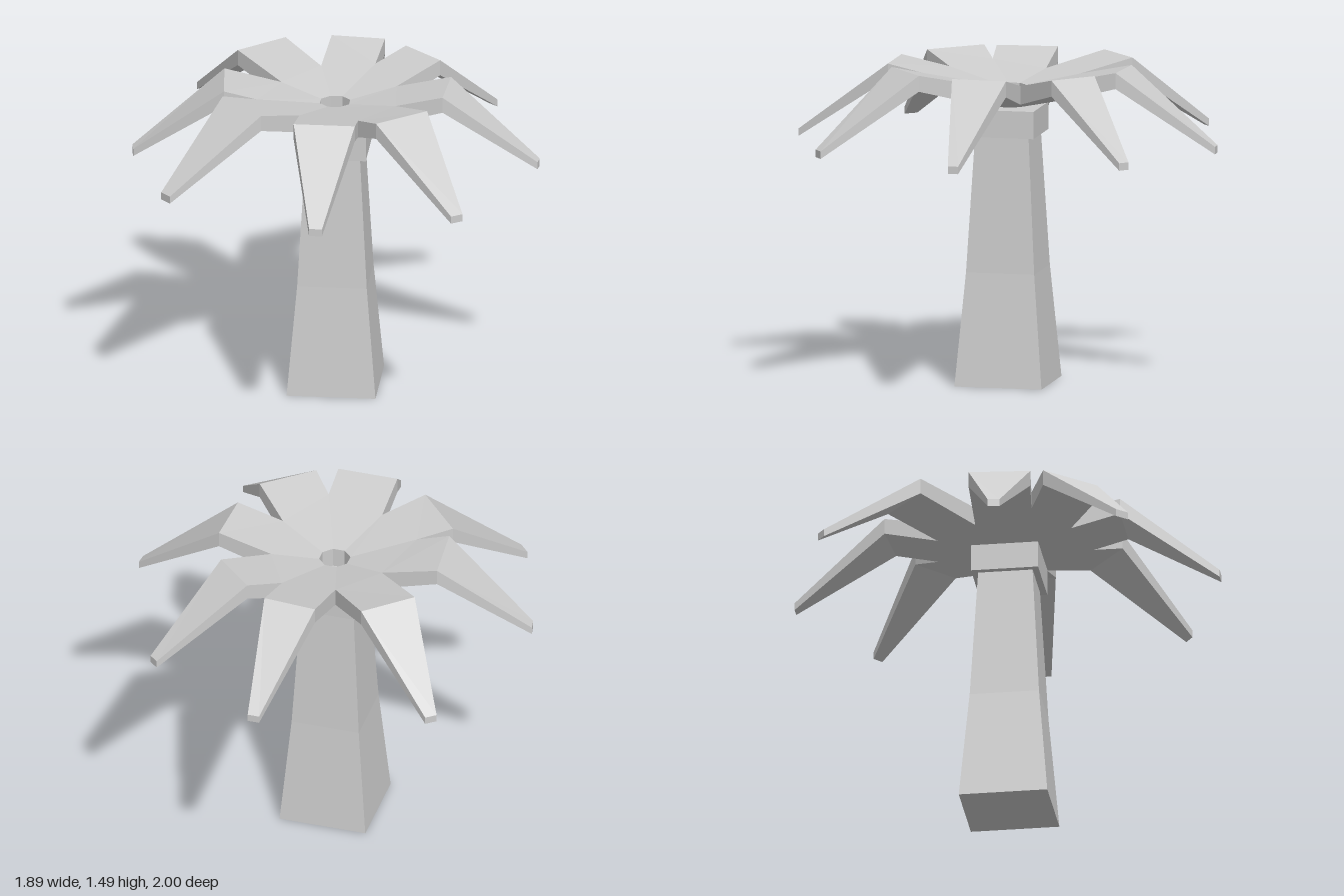
import * as THREE from 'three';

const grey = new THREE.MeshStandardMaterial({ color: 0xcccccc, flatShading: true });
grey.name = 'plain grey';

const CX = -0.008, CZ = 0.012; // trunk axis

// Fronds, counter-clockwise from the front, as [x, z] pairs:
// valley before the frond, elbow corners, tip corners
const FRONDS = [
  [[-0.145, 0.32], [-0.15, 0.55], [0.135, 0.55], [-0.035, 1], [0.025, 1]],
  [[0.135, 0.39], [0.23, 0.51], [0.45, 0.33], [0.605, 0.785], [0.655, 0.75]],
  [[0.285, 0.15], [0.505, 0.16], [0.52, -0.1], [0.94, 0.08], [0.945, 0.03]],
  [[0.265, -0.11], [0.45, -0.3], [0.275, -0.465], [0.68, -0.675], [0.64, -0.71]],
  [[0.145, -0.34], [0.17, -0.54], [-0.08, -0.56], [0.115, -1], [0.06, -1]],
  [[-0.105, -0.31], [-0.29, -0.515], [-0.495, -0.335], [-0.68, -0.79], [-0.725, -0.755]],
  [[-0.27, -0.11], [-0.535, -0.105], [-0.51, 0.18], [-0.95, 0.04], [-0.94, 0.095]],
  [[-0.36, 0.165], [-0.51, 0.24], [-0.31, 0.465], [-0.76, 0.615], [-0.715, 0.665]],
];

// Top and bottom corner of a frond at one plan position
const pair = ([x, z], top, bottom) => ({ t: [x, top, z], b: [x, bottom, z] });

// Corner of the small octagonal opening in the crown
function hubPair(k) {
  const a = (k - 0.5) * Math.PI / 4;
  return pair([-0.01 + 0.073 * Math.sin(a), 0.073 * Math.cos(a)], 1.39, 1.295);
}

// Where two fronds meet, the surface rises gently outwards
function valleyPair(v) {
  const rise = (Math.hypot(v[0], v[1]) * Math.cos(Math.PI / 8) - 0.07) / 0.48;
  return pair(v, 1.39 + 0.103 * rise, 1.295 + 0.122 * rise);
}

function frondGeometry(k) {
  const [valley, elbow1, elbow2, tip1, tip2] = FRONDS[k];
  const nextValley = FRONDS[(k + 1) % FRONDS.length][0];
  // Cross-sections from hub to tip, each with its two sides
  const stations = [
    [hubPair(k), hubPair(k + 1)],
    [valleyPair(valley), valleyPair(nextValley)],
    [pair(elbow1, 1.493, 1.418), pair(elbow2, 1.493, 1.418)],
    [pair(tip1, 1.155, 1.12), pair(tip2, 1.155, 1.12)],
  ];
  const pos = [];
  const quad = (a, b, c, d) => pos.push(...a, ...b, ...c, ...a, ...c, ...d);
  for (let i = 0; i < 3; i++) {
    const [l, r] = stations[i], [l2, r2] = stations[i + 1];
    quad(l.t, l2.t, r2.t, r.t);
    quad(l.b, r.b, r2.b, l2.b);
    if (i > 0) { // neighbours are joined inside the valleys
      quad(l.b, l2.b, l2.t, l.t);
      quad(r.b, r.t, r2.t, r2.b);
    }
  }
  const [h1, h2] = stations[0], [e1, e2] = stations[3];
  quad(h1.b, h1.t, h2.t, h2.b); // wall of the opening
  quad(e1.b, e2.b, e2.t, e1.t); // blunt tip
  const g = new THREE.BufferGeometry();
  g.setAttribute('position', new THREE.Float32BufferAttribute(pos, 3));
  g.computeVertexNormals();
  return g;
}

// Square trunk, tapering in two steps
function trunkGeometry() {
  const g = new THREE.BoxGeometry(2, 2, 2, 1, 2, 1);
  const levels = [[0, 0.207], [0.53, 0.162], [1.17, 0.127]];
  const p = g.attributes.position;
  for (let i = 0; i < p.count; i++) {
    const [y, half] = levels[Math.round(p.getY(i)) + 1];
    p.setXYZ(i, p.getX(i) * half, y, p.getZ(i) * half);
  }
  g.computeVertexNormals();
  return g;
}

export function createModel() {
  const model = new THREE.Group();
  model.name = 'palmTree';
  const add = (name, geometry, parent = model) => {
    const mesh = new THREE.Mesh(geometry, grey);
    mesh.name = name;
    parent.add(mesh);
    return mesh;
  };

  add('trunk', trunkGeometry()).position.set(CX, 0, CZ);
  add('collar', new THREE.BoxGeometry(0.314, 0.128, 0.314)).position.set(CX, 1.229, CZ);

  const crown = new THREE.Group();
  crown.name = 'crown';
  model.add(crown);
  FRONDS.forEach((_, k) => add('frond' + (k + 1), frondGeometry(k), crown));
  return model;
}
